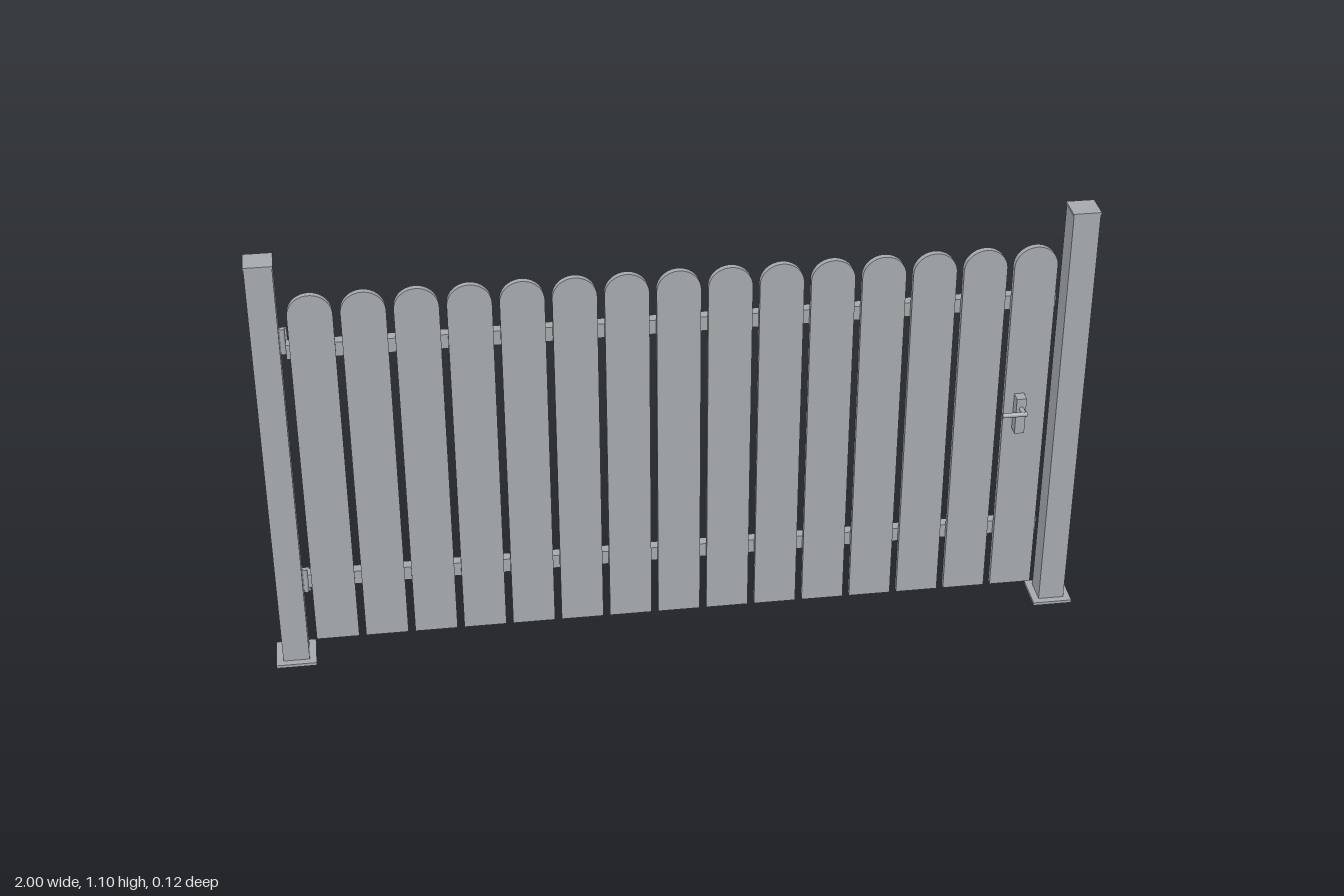
import * as THREE from 'three';

const metal = new THREE.MeshStandardMaterial({ color: 0xa6abae });
metal.name = 'grey metal';

function add(parent, name, geometry, x, y, z) {
  const mesh = new THREE.Mesh(geometry, metal);
  mesh.name = name;
  mesh.position.set(x, y, z);
  parent.add(mesh);
  return mesh;
}

// Box given by its lower and upper limits on each axis
function addBox(parent, name, [x0, x1], [y0, y1], [z0, z1]) {
  return add(parent, name, new THREE.BoxGeometry(x1 - x0, y1 - y0, z1 - z0),
    (x0 + x1) / 2, (y0 + y1) / 2, (z0 + z1) / 2);
}

function createPost(side) {
  const post = new THREE.Group();
  post.name = side > 0 ? 'leftPost' : 'rightPost';
  add(post, 'basePlate', new THREE.BoxGeometry(0.098, 0.008, 0.098), 0, 0.004, 0);
  add(post, 'postShaft', new THREE.BoxGeometry(0.064, 1.09, 0.064), 0, 0.553, 0);
  add(post, 'postCap', new THREE.BoxGeometry(0.067, 0.006, 0.067), 0, 1.1, 0);
  post.position.set(side * 0.951, 0, -0.009);
  return post;
}

// Picket outline with a semicircular top
function picketGeometry(width, bottom, top, depth) {
  const r = width / 2;
  const shape = new THREE.Shape();
  shape.moveTo(-r, bottom);
  shape.lineTo(r, bottom);
  shape.lineTo(r, top - r);
  shape.absarc(0, top - r, r, 0, Math.PI, false);
  shape.closePath();
  return new THREE.ExtrudeGeometry(shape, { depth, bevelEnabled: false, curveSegments: 20 });
}

function createHinge(y) {
  const hinge = new THREE.Group();
  hinge.name = 'hinge';
  addBox(hinge, 'hingeLeaf', [-0.92, -0.902], [-0.033, 0.033], [-0.048, -0.041]);
  add(hinge, 'hingeBarrel', new THREE.CylinderGeometry(0.006, 0.006, 0.066, 12), -0.913, 0, -0.041);
  hinge.position.y = y;
  return hinge;
}

function createHandle() {
  const handle = new THREE.Group();
  handle.name = 'handle';
  addBox(handle, 'lockCase', [0.818, 0.842], [0.515, 0.612], [0, 0.028]);
  const neck = add(handle, 'handleNeck', new THREE.CylinderGeometry(0.006, 0.006, 0.03, 16), 0.831, 0.584, 0.039);
  neck.rotation.x = Math.PI / 2;
  const lever = add(handle, 'handleLever', new THREE.CylinderGeometry(0.006, 0.006, 0.06, 16), 0.808, 0.584, 0.052);
  lever.rotation.z = Math.PI / 2;
  return handle;
}

export function createModel() {
  const model = new THREE.Group();
  model.name = 'picketGate';
  model.add(createPost(-1), createPost(1));

  // Row of pickets
  const picket = picketGeometry(0.104, 0.05, 1.01, 0.015);
  const count = 15;
  for (let i = 0; i < count; i++) {
    add(model, 'picket', picket, -0.846 + (i * 1.692) / (count - 1), 0, -0.0145);
  }

  // Cross rails behind the pickets
  for (const y of [0.196, 0.839]) {
    addBox(model, 'rail', [-0.907, 0.905], [y, y + 0.037], [-0.041, -0.0145]);
  }

  model.add(createHinge(0.2), createHinge(0.873), createHandle());
  return model;
}
